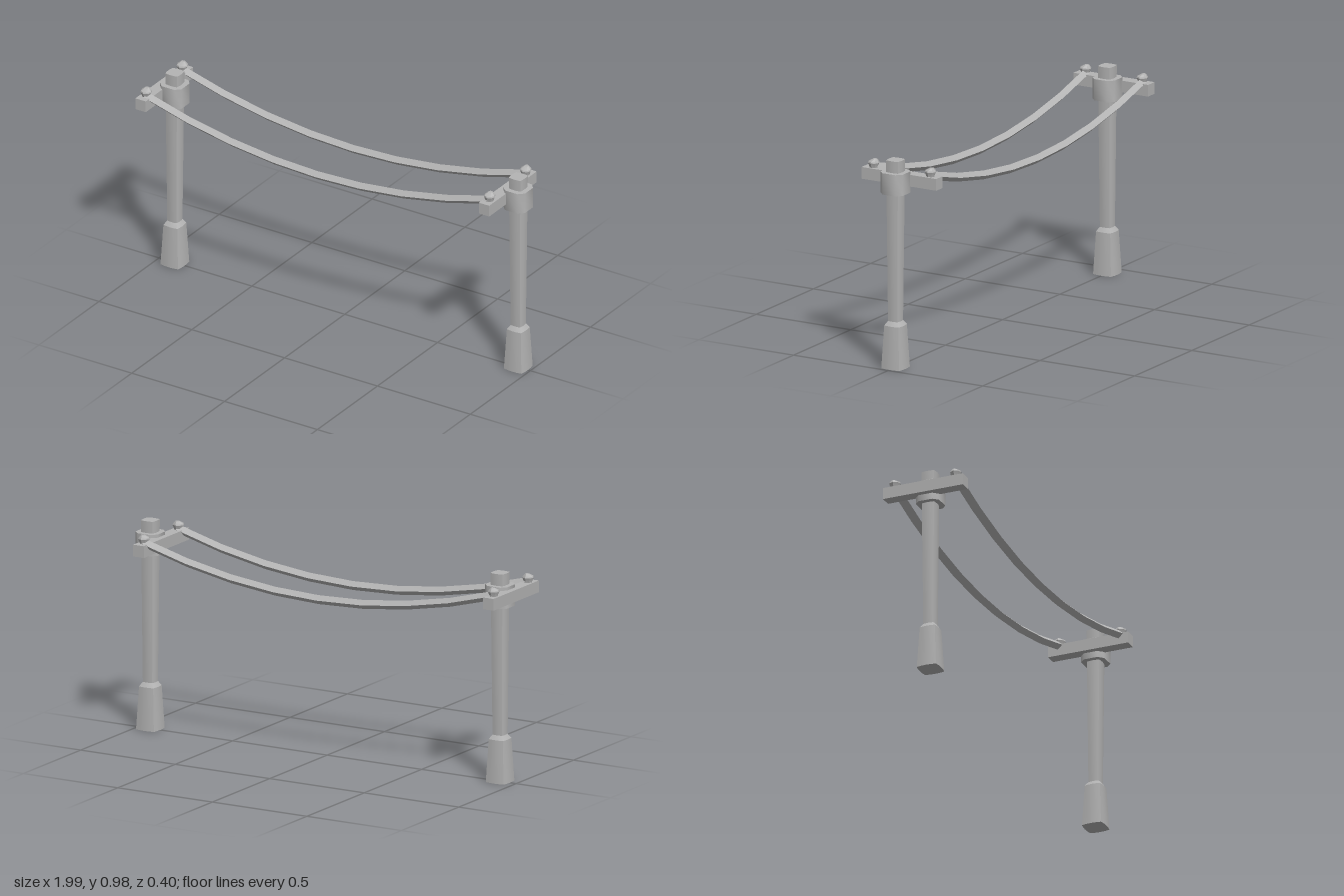
import * as THREE from 'three';
import { toCreasedNormals } from 'three/addons/utils/BufferGeometryUtils.js';

const SPAN = 1.85;      // distance between the two poles
const BAR_X = -0.972;   // crossbar centre on the first pole
const POLE_X = -0.915;
const LINE_Z = 0.15;

const grey = new THREE.MeshStandardMaterial({ color: 0xb4b4b4 });
grey.name = 'weathered grey';

function part(name, geometry, crease = 0.4) {
  const mesh = new THREE.Mesh(toCreasedNormals(geometry, crease), grey);
  mesh.name = name;
  return mesh;
}

// Square column with gently bulging sides; levels are [halfWidth, y] from bottom to top
function bulgedColumn(levels, roofSlope = 0) {
  const last = levels[levels.length - 1];
  const profile = [[0, levels[0][1]], ...levels, [0, last[1]]];
  const geo = new THREE.LatheGeometry(profile.map(([r, y]) => new THREE.Vector2(r, y)), 16);
  const p = geo.attributes.position;
  for (let i = 0; i < p.count; i++) {
    const r = Math.hypot(p.getX(i), p.getZ(i));
    const a = Math.atan2(p.getX(i), p.getZ(i));
    const side = Math.round(a / (Math.PI / 2) - 1e-4) * Math.PI / 2;
    const u = (a - side) / (Math.PI / 4);
    const out = r * (1 - 0.11 * u * u);
    const along = r * 0.89 * u;
    const x = out * Math.sin(side) + along * Math.cos(side);
    const z = out * Math.cos(side) - along * Math.sin(side);
    const y = p.getY(i);
    p.setXYZ(i, x, y === last[1] ? y - roofSlope * Math.abs(x) : y, z);
  }
  return geo;
}

// Band with cut corners around the top of the pole
function collarGeometry() {
  const h = 0.058, c = 0.034;
  const outline = [[h, -c], [h, c], [c, h], [-c, h], [-h, c], [-h, -c], [-c, -h], [c, -h]];
  const shape = new THREE.Shape(outline.map(([x, y]) => new THREE.Vector2(x, y)));
  const geo = new THREE.ExtrudeGeometry(shape, { depth: 0.1, bevelEnabled: false });
  return geo.rotateX(-Math.PI / 2).translate(0, 0.82, 0);
}

// Flared peg with a slightly lopsided crown
function pegGeometry() {
  const profile = [[0, 0.9], [0.018, 0.9], [0.02, 0.91], [0.027, 0.927], [0.025, 0.933], [0.01, 0.945], [0, 0.945]];
  const geo = new THREE.LatheGeometry(profile.map(([r, y]) => new THREE.Vector2(r, y)), 8);
  const p = geo.attributes.position;
  for (let i = 0; i < p.count; i++) {
    if (p.getY(i) > 0.94) p.setZ(i, p.getZ(i) - 0.007);
  }
  return geo;
}

// Sagging line with a diamond section
function lineGeometry() {
  const geo = new THREE.CylinderGeometry(0.022, 0.022, SPAN, 4, 8).rotateZ(Math.PI / 2);
  const p = geo.attributes.position;
  for (let i = 0; i < p.count; i++) {
    const t = p.getX(i) / (SPAN / 2);
    p.setY(i, p.getY(i) * 0.95 + 0.765 + 0.142 * t * t);
  }
  return geo;
}

function createPole(name) {
  const pole = new THREE.Group();
  pole.name = name;

  const post = part('post', bulgedColumn([[0.053, 0], [0.042, 0.2], [0.028, 0.22], [0.034, 0.86]]));
  const cap = part('postCap', bulgedColumn([[0.034, 0.86], [0.035, 0.975]], 0.45), 0.3);
  const collar = part('collar', collarGeometry(), 1.0);
  for (const m of [post, cap, collar]) {
    m.position.x = POLE_X;
    pole.add(m);
  }

  const bar = part('crossbar', new THREE.BoxGeometry(0.056, 0.055, 0.395));
  bar.position.set(BAR_X, 0.8775, 0);
  pole.add(bar);

  for (const s of [-1, 1]) {
    const peg = part(s > 0 ? 'frontPeg' : 'backPeg', pegGeometry());
    peg.position.set(BAR_X, 0, s * LINE_Z);
    pole.add(peg);
  }
  return pole;
}

export function createModel() {
  const model = new THREE.Group();
  model.name = 'linePoles';

  // Two identical poles
  const right = createPole('rightPole');
  const left = createPole('leftPole');
  left.position.x = SPAN;
  model.add(right, left);

  // Two lines strung between the pegs
  for (const s of [-1, 1]) {
    const line = part(s > 0 ? 'frontLine' : 'backLine', lineGeometry());
    line.position.set(BAR_X + SPAN / 2, 0, s * LINE_Z);
    model.add(line);
  }
  return model;
}
